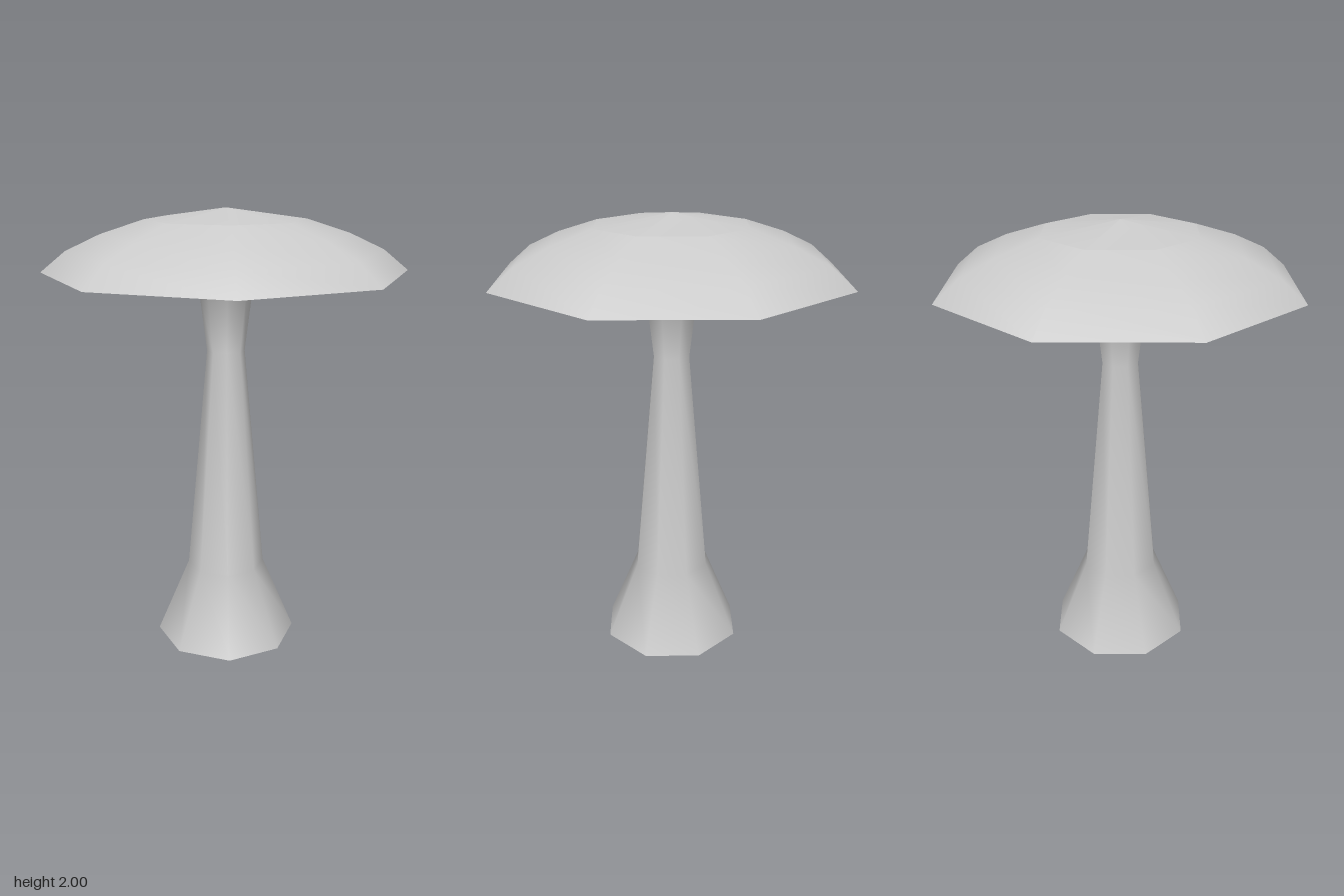
import * as THREE from 'three';

const SIDES = 8;

export function createModel() {
  const group = new THREE.Group();
  const material = new THREE.MeshStandardMaterial({ color: 0xcccccc });

  const add = (name, geometry) => {
    const mesh = new THREE.Mesh(geometry, material);
    mesh.name = name;
    group.add(mesh);
  };
  // Eight-sided turned surface; profile is [radius, height] from bottom to top
  const turned = (profile) =>
    new THREE.LatheGeometry(profile.map(([r, y]) => new THREE.Vector2(r, y)), SIDES);
  // Flat octagon facing down
  const underside = (radius, y) =>
    new THREE.CircleGeometry(radius, SIDES).rotateX(Math.PI / 2).translate(0, y, 0);

  // Stem: flared foot, tapering shaft and a collar that opens under the cap
  add('stem', turned([[0.325, 0], [0.177, 0.355], [0.084, 1.38], [0.117, 1.645], [0.212, 1.73]]));
  add('stemBase', underside(0.325, 0));

  // Cap: domed rim, shallow crown with its own crease, and flat underside
  add('capDome', turned([[0.8, 1.73], [0.69, 1.82], [0.54, 1.89], [0.35, 1.952]]));
  add('capCrown', turned([[0.35, 1.952], [0, 2]]));
  add('capUnderside', underside(0.8, 1.73));

  return group;
}
